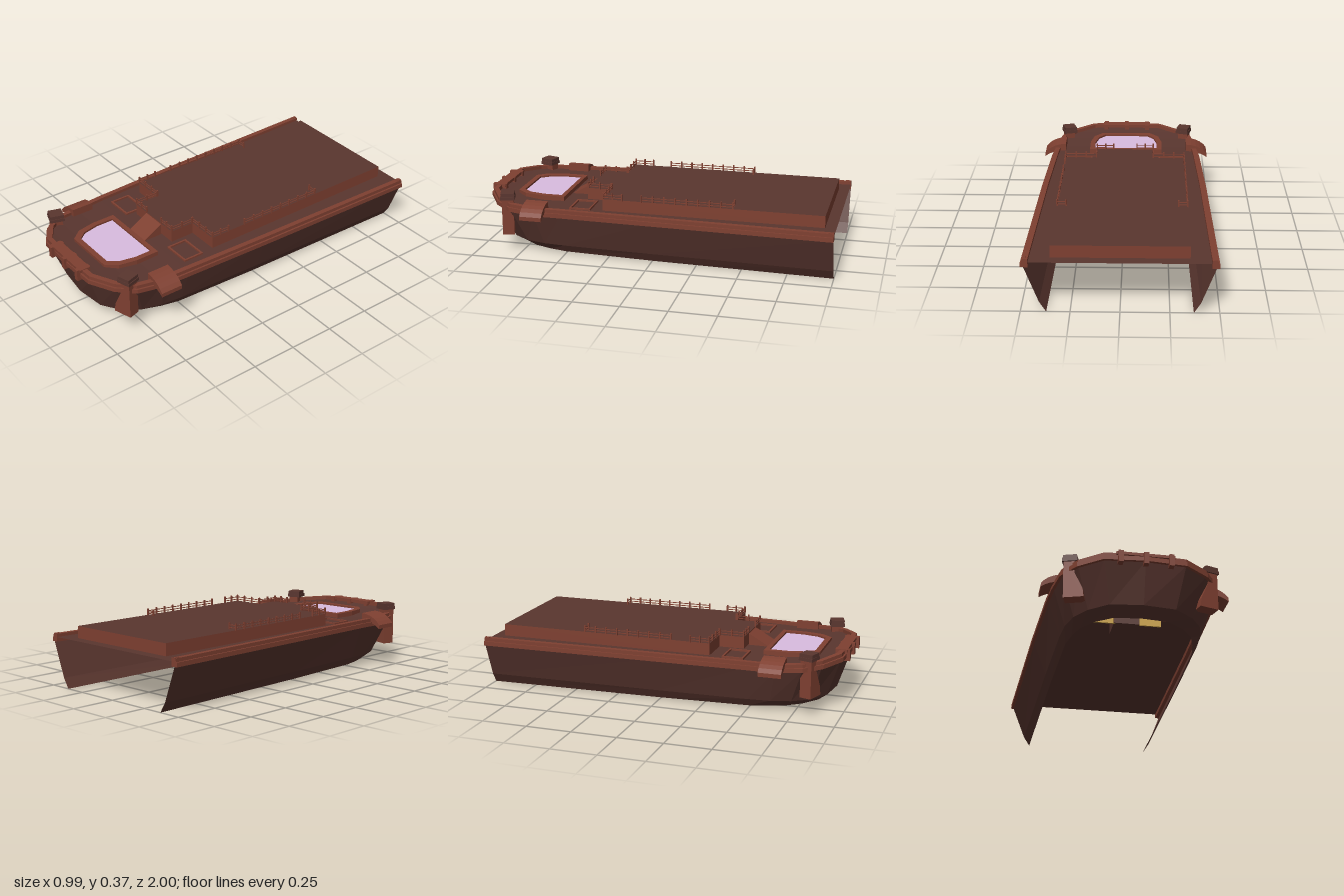
import * as THREE from 'three';

const mat = (name, color) => new THREE.MeshStandardMaterial({ name, color, side: THREE.DoubleSide });

export function createModel() {
  const brown = mat('dark brown', 0x5a362f);
  const trim = mat('red brown', 0x7f4031);
  const lilac = mat('lilac glass', 0xdabce0);
  const gold = mat('gold', 0xcfa548);
  const model = new THREE.Group();

  const add = (name, geometry, material) => {
    const mesh = new THREE.Mesh(geometry, material);
    mesh.name = name;
    model.add(mesh);
    return mesh;
  };
  const box = (name, material, x0, x1, y0, y1, z0, z1) =>
    add(name, new THREE.BoxGeometry(Math.abs(x1 - x0), y1 - y0, Math.abs(z1 - z0)), material)
      .position.set((x0 + x1) / 2, (y0 + y1) / 2, (z0 + z1) / 2);

  // Flat-shaded skin between successive cross-sections
  const loft = (rings, closed, caps = false) => {
    const pos = [];
    const tri = (...p) => p.forEach(v => pos.push(...v));
    for (let i = 0; i + 1 < rings.length; i++) {
      const a = rings[i], b = rings[i + 1];
      for (let j = 0; j < a.length - (closed ? 0 : 1); j++) {
        const k = (j + 1) % a.length;
        tri(a[j], b[j], b[k]);
        tri(a[j], b[k], a[k]);
      }
    }
    if (caps) for (const r of [rings[0], rings[rings.length - 1]])
      for (let j = 1; j + 1 < r.length; j++) tri(r[0], r[j], r[j + 1]);
    const g = new THREE.BufferGeometry();
    g.setAttribute('position', new THREE.Float32BufferAttribute(pos, 3));
    g.computeVertexNormals();
    return g;
  };

  // Upright prism from a plan outline of [x, z] points
  const plan = (pts, y, height, hole) => {
    const v = list => list.map(([x, z]) => new THREE.Vector2(x, -z));
    const shape = new THREE.Shape(v(pts));
    if (hole) shape.holes.push(new THREE.Path(v(hole)));
    return new THREE.ExtrudeGeometry(shape, { depth: height, bevelEnabled: false })
      .rotateX(-Math.PI / 2).translate(0, y, 0);
  };
  const mirrored = half => [...half, ...half.slice().reverse().map(([x, ...r]) => [-x, ...r])];

  // Hull lines from stern to bow: [x, y, z]
  const top = [[.48, .252, -1], [.455, .25, 0], [.435, .247, .5], [.425, .243, .66],
    [.4, .25, .8], [.33, .26, .89], [.21, .272, .965], [0, .276, .975]];
  const chine = [[.405, .055, -1], [.385, .055, 0], [.37, .055, .5], [.36, .055, .62],
    [.33, .055, .73], [.27, .055, .82], [.17, .06, .89], [0, .06, .91]];
  const keel = [[.37, 0, -1], [.355, .005, 0], [.34, .01, .5], [.32, .012, .6],
    [.29, .014, .69], [.23, .015, .77], [.14, .015, .835], [0, .015, .85]];
  const round = line => [...line, ...line.slice(0, -1).reverse().map(([x, y, z]) => [-x, y, z])];
  const [t, c, k] = [top, chine, keel].map(round);
  add('hull', loft(t.map((p, i) => [p, c[i], k[i]]), false), brown);
  add('deck', loft(top.map(([x, y, z]) => [[x, y + .02, z], [-x, y + .02, z]]), false), brown);

  // Stepped rim following the deck edge
  const section = [[.014, -.006], [.014, .018], [.004, .018], [.004, .037], [-.024, .037], [-.024, -.006]];
  add('rim', loft(t.map(([x, y, z], i) => {
    const a = t[Math.max(i - 1, 0)], b = t[Math.min(i + 1, t.length - 1)];
    const dx = b[0] - a[0], dz = b[2] - a[2], len = Math.hypot(dx, dz);
    return section.map(([o, h]) => [x + o * dz / len, y + h, z - o * dx / len]);
  }), true, true), trim);

  // Bow rail and its brackets
  box('bowRail', trim, -.15, .15, .298, .314, .925, .985);
  for (const x of [-.13, 0, .13]) box('bowBracket', trim, x - .013, x + .013, .25, .314, .92, 1);

  // Raised deckhouse with stepped front, and the ramp down to the foredeck
  add('deckhouse', plan(mirrored([[.35, -.94], [.35, .28], [.17, .28], [.17, .42], [.07, .42]]),
    .272, .066), [brown, trim]);
  const ramp = x => [[x, .338, .41], [x, .265, .54], [x, .265, .41]];
  add('ramp', loft([ramp(-.07), ramp(.07)], true, true), trim);

  // Skylight on the foredeck
  const glass = mirrored([[.19, .57], [.19, .67], [.17, .76], [.13, .81]]);
  const outer = mirrored([[.22, .545], [.22, .68], [.2, .78], [.15, .84]]);
  add('skylightFrame', plan(outer, .262, .028, glass), trim);
  add('skylightGlass', plan(glass, .272, .008), lilac);

  // Railings
  const rail = ([x0, z0], [x1, z1], n) => {
    for (const y of [.348, .362])
      box('railBar', trim, Math.min(x0, x1) - .002, Math.max(x0, x1) + .002, y - .002, y + .002,
        Math.min(z0, z1) - .002, Math.max(z0, z1) + .002);
    for (let i = 0; i <= n; i++) {
      const x = x0 + (x1 - x0) * i / n, z = z0 + (z1 - z0) * i / n;
      box('railPost', trim, x - .004, x + .004, .335, .374, z - .004, z + .004);
    }
  };

  for (const s of [1, -1]) {
    rail([s * .07, .417], [s * .168, .417], 2);
    rail([s * .168, .417], [s * .168, .283], 2);
    rail([s * .168, .277], [s * .348, .277], 3);
    rail([s * .348, .277], [s * .348, .17], 2);
    rail([s * .348, .06], [s * .348, -.445], 8);
    rail([s * .348, -.445], [s * .3, -.445], 1);

    // Deck hatch frame
    const rect = (w, d) => [[s * .28 - w, .41 - d], [s * .28 + w, .41 - d], [s * .28 + w, .41 + d], [s * .28 - w, .41 + d]];
    add('hatchFrame', plan(rect(.08, .06), .265, .012, rect(.07, .05)), trim);

    // Curved side fender
    const arc = new THREE.Shape();
    arc.moveTo(.37, .308);
    arc.quadraticCurveTo(.455, .305, .497, .25);
    arc.lineTo(.497, .228);
    arc.quadraticCurveTo(.45, .265, .37, .265);
    const fender = add('sideFender', new THREE.ExtrudeGeometry(arc, { depth: .125, bevelEnabled: false, curveSegments: 5 }), trim);
    fender.position.z = .587;
    if (s < 0) { fender.rotation.y = Math.PI; fender.position.z = .712; }

    // Bow post with flared foot and dark cap
    const foot = [[.035, .1], [.035, .31], [-.022, .31], [-.022, .24], [-.065, .145], [-.07, .1]];
    const post = new THREE.Shape(foot.map(([x, y]) => new THREE.Vector2(s * x, y)));
    const group = new THREE.Group();
    group.name = 'bowPost';
    const body = new THREE.Mesh(new THREE.ExtrudeGeometry(post, { depth: .065, bevelEnabled: false }).translate(0, 0, -.0325), trim);
    body.name = 'postBody';
    const cap = new THREE.Mesh(new THREE.BoxGeometry(.072, .02, .076), brown);
    cap.name = 'postCap';
    cap.position.set(s * .002, .331, 0);
    const collar = new THREE.Mesh(new THREE.BoxGeometry(.08, .018, .08), brown);
    collar.name = 'postCollar';
    collar.position.set(s * .002, .313, 0);
    group.add(body, cap, collar);
    group.position.set(s * .358, 0, .828);
    group.rotation.y = s * .3;
    model.add(group);

    // Small cleat on the rim and gold panel below deck
    box('rimCleat', trim, s * .465, s * .48, .28, .292, -1, -.97);
    box('goldPanel', gold, s * .06, s * .19, .19, .265, .425, .433);
  }
  box('lowerCabin', brown, -.07, .07, .19, .265, .3, .44);
  return model;
}
